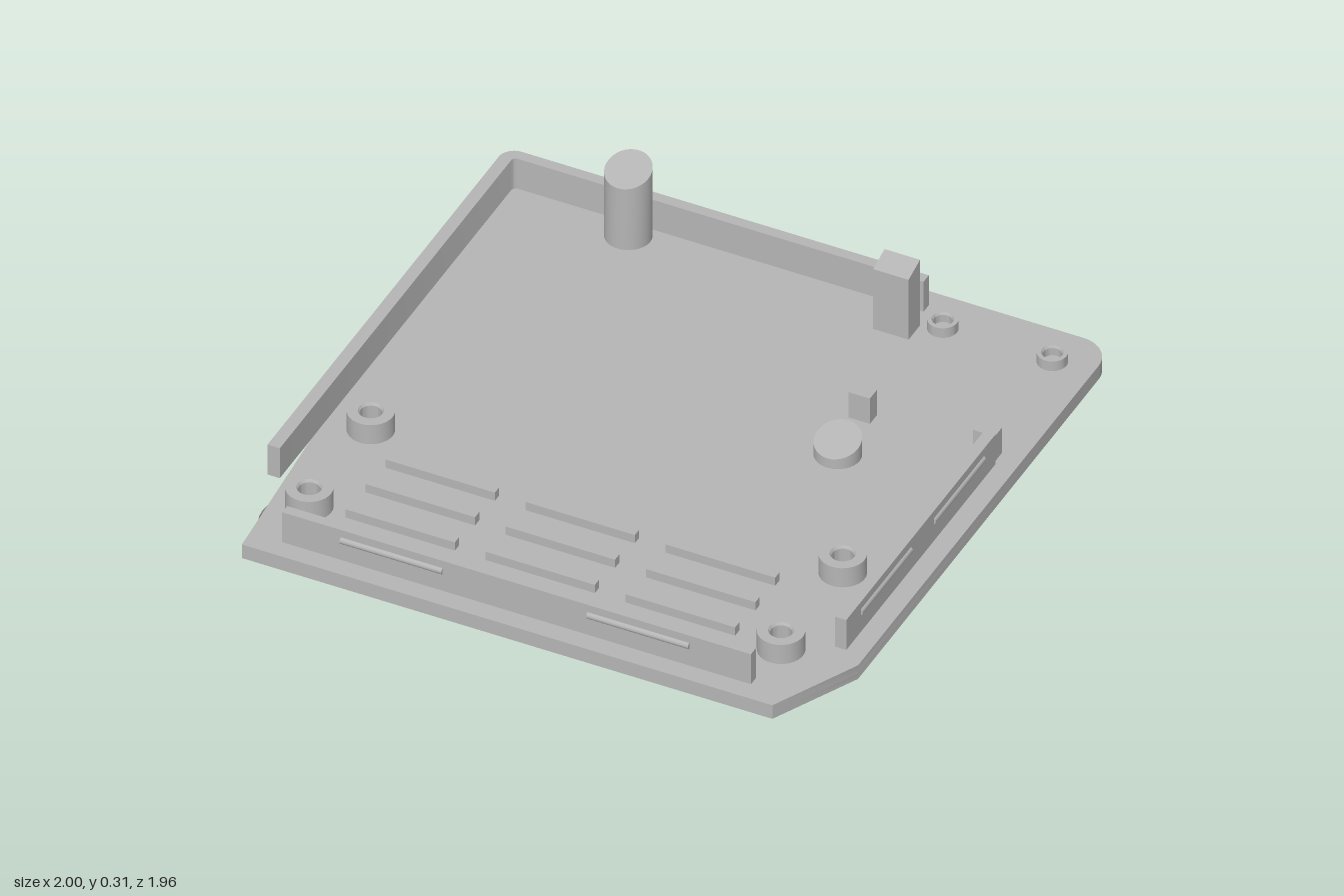
import * as THREE from 'three';
import { toCreasedNormals } from 'three/addons/utils/BufferGeometryUtils.js';

const grey = new THREE.MeshStandardMaterial({ color: 0xb5b5b5 });
grey.name = 'grey plastic';

const FLOOR = 0.05, WALL_TOP = 0.16;

export function createModel() {
  const model = new THREE.Group();
  model.name = 'enclosureBase';

  const add = (name, geometry, x = 0, y = 0, z = 0) => {
    const mesh = new THREE.Mesh(geometry, grey);
    mesh.name = name;
    mesh.position.set(x, y, z);
    model.add(mesh);
    return mesh;
  };
  // box given by its limits
  const block = (name, x0, x1, y0, y1, z0, z1) =>
    add(name, new THREE.BoxGeometry(x1 - x0, y1 - y0, z1 - z0), (x0 + x1) / 2, (y0 + y1) / 2, (z0 + z1) / 2);
  // plan shape (drawn with y = -z) raised from y0 to y1
  const slab = (name, shape, y0, y1) => {
    const g = new THREE.ExtrudeGeometry(shape, { depth: y1 - y0, bevelEnabled: false, curveSegments: 16 });
    g.rotateX(-Math.PI / 2);
    return add(name, toCreasedNormals(g, 0.5), 0, y0, 0);
  };

  // Floor plate: rounded at the back, chamfered at the front
  const outline = (notch) => {
    const s = new THREE.Shape();
    const r = 0.1;
    s.moveTo(-0.86, -0.98);
    s.lineTo(0.86, -0.98);
    s.lineTo(1, -0.7);
    s.lineTo(1, 0.98 - r);
    s.absarc(1 - r, 0.98 - r, r, 0, Math.PI / 2, false);
    if (notch) {
      s.lineTo(0, 0.98);
      s.lineTo(0, 0.94);
      s.lineTo(-0.32, 0.94);
      s.lineTo(-0.32, 0.98);
    }
    s.absarc(-1 + r, 0.98 - r, r, Math.PI / 2, Math.PI, false);
    s.closePath();
    return s;
  };
  // Lower layer holds the round foot recesses and the rear notch
  const lower = outline(true);
  for (const x of [-0.74, 0.74])
    for (const z of [-0.77, 0.77]) {
      const hole = new THREE.Path();
      hole.absarc(x, -z, 0.155, 0, Math.PI * 2, true);
      lower.holes.push(hole);
    }
  slab('floorUnderside', lower, 0, 0.02);
  slab('floor', outline(false), 0.02, FLOOR);

  // Back and side wall joined by a rounded corner
  const corner = new THREE.Shape();
  corner.moveTo(-0.94, -0.65);
  corner.lineTo(-0.9, -0.65);
  corner.lineTo(-0.9, 0.87);
  corner.absarc(-0.885, 0.87, 0.015, Math.PI, Math.PI / 2, true);
  corner.lineTo(0.43, 0.885);
  corner.lineTo(0.43, 0.92);
  corner.lineTo(-0.89, 0.92);
  corner.absarc(-0.89, 0.87, 0.05, Math.PI / 2, Math.PI, false);
  corner.closePath();
  slab('cornerWall', corner, FLOOR, WALL_TOP);
  block('sideWall', 0.9, 0.937, FLOOR, WALL_TOP, -0.33, 0.65);
  block('frontWall', -0.76, 0.76, FLOOR, WALL_TOP, 0.885, 0.918);

  // Snap ridges on the outside of the walls
  const ridge = (x, z, alongX) => {
    const g = new THREE.CylinderGeometry(0.012, 0.012, 0.33, 12);
    if (alongX) g.rotateZ(Math.PI / 2);
    else g.rotateX(Math.PI / 2);
    add('snapRidge', g, x, 0.122, z);
  };
  for (const x of [-0.55, 0.215]) ridge(x, -0.918, true);
  for (const x of [-0.405, 0.395]) ridge(x, 0.915, true);
  for (const z of [-0.395, 0.39]) ridge(-0.936, z, false);
  for (const z of [-0.09, 0.39]) ridge(0.932, z, false);

  // Hollow screw posts
  const post = (name, x, z, outer, inner, top) => {
    const profile = [
      [inner * 0.85, FLOOR + 0.001], [inner * 0.85, top - 0.008], [inner, top], [outer, top], [outer, FLOOR],
    ].map(([r, y]) => new THREE.Vector2(r, y)).reverse();
    add(name, toCreasedNormals(new THREE.LatheGeometry(profile, 32), 0.5), x, 0, z);
  };
  for (const x of [-0.765, 0.765])
    for (const z of [0.325, 0.73]) post('screwPost', x, z, 0.071, 0.038, 0.12);
  for (const x of [0.515, 0.87]) post('smallPost', x, -0.84, 0.046, 0.033, 0.085);

  // Pegs whose tops rise towards the back
  const slantTop = (g, height) => {
    const p = g.attributes.position;
    for (let i = 0; i < p.count; i++)
      p.setY(i, p.getY(i) > 0 ? height - 0.29 * p.getZ(i) : 0);
    return toCreasedNormals(g, 0.5);
  };
  const round = () => new THREE.CylinderGeometry(0.071, 0.071, 1, 32);
  add('tallPeg', slantTop(round(), 0.243), -0.5, FLOOR, -0.83);
  add('shortPeg', slantTop(round(), 0.055), 0.505, FLOOR, -0.17);
  add('squarePeg', slantTop(new THREE.BoxGeometry(0.115, 1, 0.075), 0.231), 0.392, FLOOR, -0.785);

  // Small locating blocks
  block('locatingBlock', 0.455, 0.525, FLOOR, 0.143, -0.387, -0.34);
  block('locatingBlock', 0.86, 0.93, FLOOR, 0.143, -0.387, -0.34);

  // Three by three floor ribs
  for (const x of [-0.647, -0.193, 0.262])
    for (const z of [0.455, 0.585, 0.718])
      block('floorRib', x, x + 0.355, FLOOR, 0.08, z - 0.014, z + 0.014);

  return model;
}
